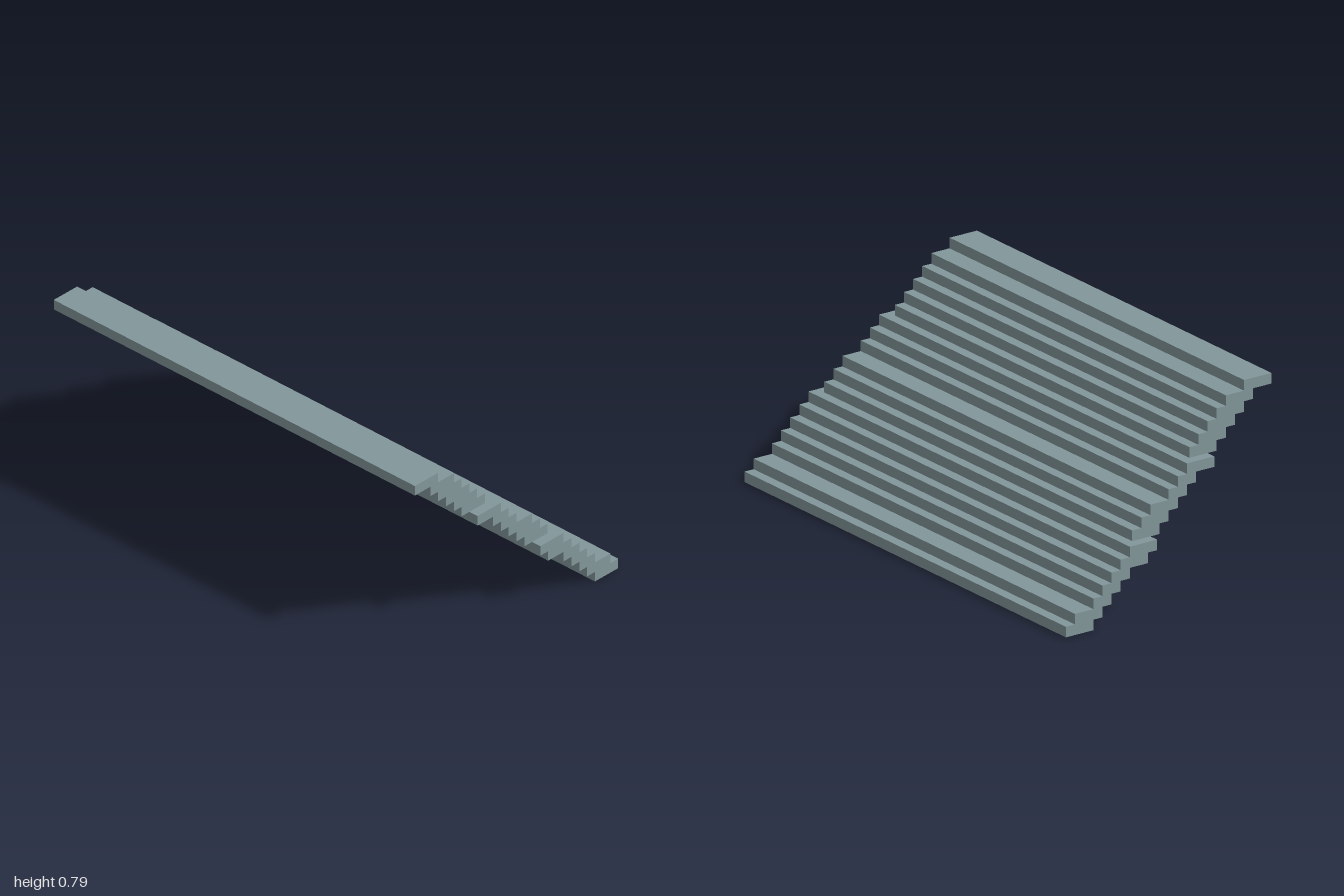
import * as THREE from 'three';

const U = 1 / 24; // one step unit

// Each flight: first row, half width in z, and [left, right] of each tread row in units
const FLIGHTS = [
  { name: 'lowerFlight', row: 0, half: 24,
    treads: [[9, 12], [8, 11], [7, 9], [6, 8], [5, 7], [3, 6], [2, 5]] },
  { name: 'middleFlight', row: 7, half: 23,
    treads: [[1, 4], [0, 3], [-1, 2], [-2, 0], [-3, -1], [-5, -2]] },
  { name: 'upperFlight', row: 13, half: 22,
    treads: [[-6, -3], [-7, -4], [-8, -5], [-9, -6], [-10, -7], [-12, -9]] },
];

// Stepped side outline, up the right edge and down the left, extruded across z
function flightGeometry({ row, half, treads }) {
  const right = [], left = [];
  treads.forEach(([l, r], i) => {
    const y0 = (row + i) * U, y1 = y0 + U;
    right.push(new THREE.Vector2(r * U, y0), new THREE.Vector2(r * U, y1));
    left.push(new THREE.Vector2(l * U, y0), new THREE.Vector2(l * U, y1));
  });
  const shape = new THREE.Shape([...right, ...left.reverse()]);
  const geometry = new THREE.ExtrudeGeometry(shape, { depth: 2 * half * U, bevelEnabled: false });
  return geometry.translate(0, 0, -half * U);
}

export function createModel() {
  const group = new THREE.Group();
  group.name = 'staircase';
  const stone = new THREE.MeshStandardMaterial({ color: 0x82969a });
  stone.name = 'grey stone';
  for (const flight of FLIGHTS) {
    const mesh = new THREE.Mesh(flightGeometry(flight), stone);
    mesh.name = flight.name;
    group.add(mesh);
  }
  return group;
}
